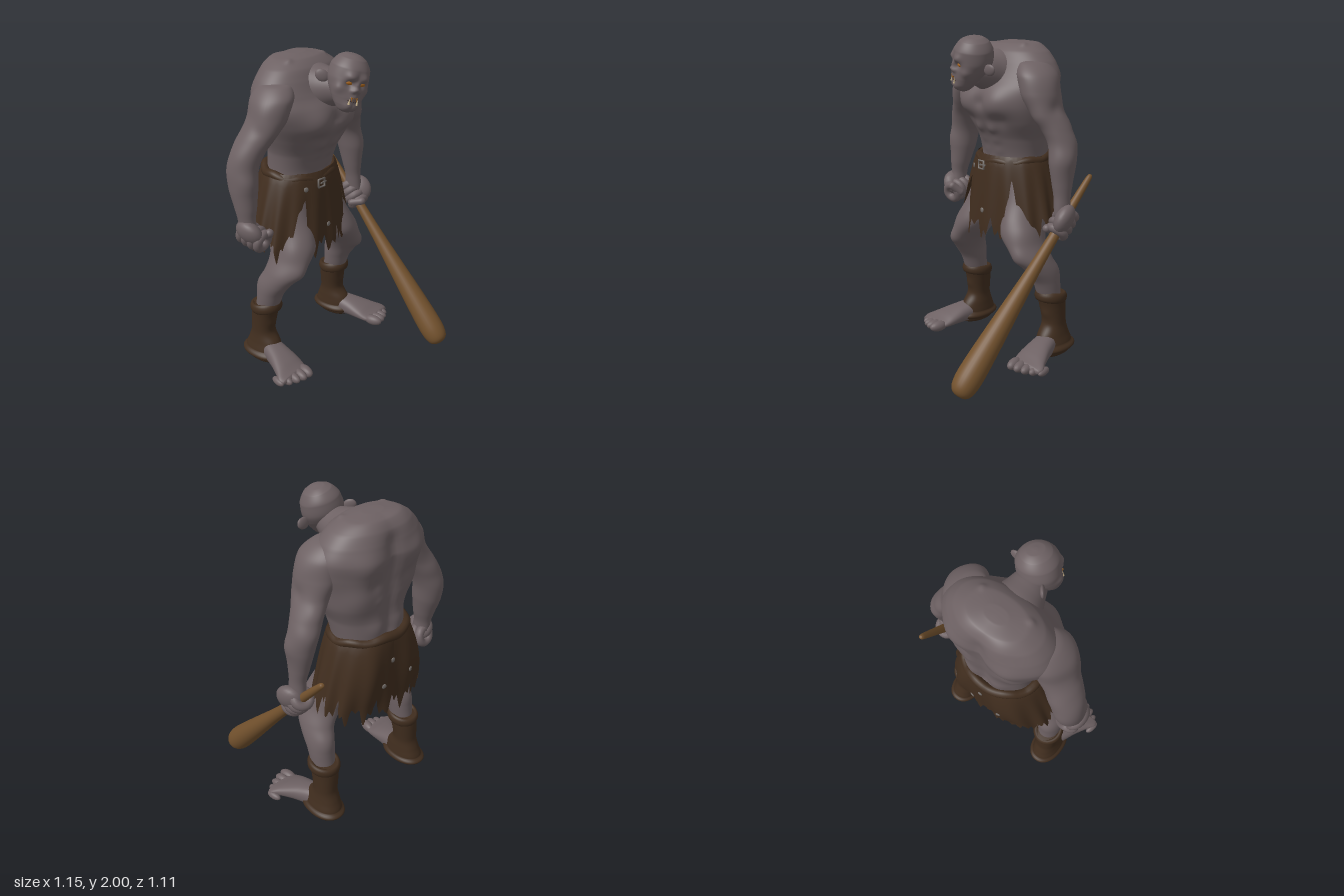
import * as THREE from 'three';

const mat = (name, color, side = THREE.FrontSide) => {
  const m = new THREE.MeshStandardMaterial({ color, side });
  m.name = name;
  return m;
};
const SKIN = mat('greySkin', 0x6d6163);
const LEATHER = mat('brownLeather', 0x402d1e, THREE.DoubleSide);
const WOOD = mat('clubWood', 0x72512d);
const METAL = mat('dullMetal', 0x706a66);
const AMBER = mat('amber', 0xa8661f);
const TOOTH = mat('ivoryTooth', 0xc0ac88);
const MOUTH = mat('darkMouth', 0x3a2420);

function add(parent, name, geo, material, pos = [0, 0, 0], rot = [0, 0, 0], scale = [1, 1, 1]) {
  const m = new THREE.Mesh(geo, material);
  m.name = name;
  m.position.set(...pos);
  m.rotation.set(...rot);
  m.scale.set(...scale);
  parent.add(m);
  return m;
}
const ball = (r) => new THREE.SphereGeometry(r, 20, 14);

// Smooth body from elliptical rings [x, y, z, half width, half depth];
// bumps [|x|, y, z, radius, amount] push the surface along its normal.
function loft(rings, { axis = 'y', power = 2, bumps = [], around = 48, steps = 8 } = {}) {
  const centres = new THREE.CatmullRomCurve3(rings.map((r) => new THREE.Vector3(r[0], r[1], r[2])));
  const sizes = new THREE.CatmullRomCurve3(rings.map((r) => new THREE.Vector3(r[3], r[4], 0)));
  const n = (rings.length - 1) * steps;
  const pos = [], idx = [];
  const round = (v) => Math.sign(v) * Math.abs(v) ** (2 / power);
  for (let i = 0; i <= n; i++) {
    const c = centres.getPoint(i / n), s = sizes.getPoint(i / n);
    for (let j = 0; j < around; j++) {
      const t = (j / around) * Math.PI * 2;
      const u = round(Math.cos(t)) * s.x, v = round(Math.sin(t)) * s.y;
      if (axis === 'y') pos.push(c.x + u, c.y, c.z + v);
      else pos.push(c.x + u, c.y + v, c.z);
    }
  }
  const first = rings[0], last = rings[rings.length - 1];
  const k = axis === 'y' ? 1 : 2;
  const flip = (axis === 'z') !== (last[k] < first[k]);
  const tri = (a, b, c) => (flip ? idx.push(a, c, b) : idx.push(a, b, c));
  const end = (n + 1) * around;
  pos.push(...first.slice(0, 3), ...last.slice(0, 3));
  for (let j = 0; j < around; j++) {
    const j2 = (j + 1) % around;
    for (let i = 0; i < n; i++) {
      const a = i * around + j, b = i * around + j2;
      tri(a, a + around, b);
      tri(b, a + around, b + around);
    }
    tri(end, j, j2);
    tri(end + 1, n * around + j2, n * around + j);
  }
  const g = new THREE.BufferGeometry();
  g.setAttribute('position', new THREE.Float32BufferAttribute(pos, 3));
  g.setIndex(idx);
  g.computeVertexNormals();
  const p = g.attributes.position, nor = g.attributes.normal;
  for (let i = 0; i < p.count; i++) {
    const x = p.getX(i), y = p.getY(i), z = p.getZ(i);
    let d = 0;
    for (const [bx, by, bz, r, amt] of bumps)
      d += amt * Math.exp(-((Math.abs(x) - bx) ** 2 + (y - by) ** 2 + (z - bz) ** 2) / (r * r));
    p.setXYZ(i, x + nor.getX(i) * d, y + nor.getY(i) * d, z + nor.getZ(i) * d);
  }
  g.computeVertexNormals();
  return g;
}

// Torn skirt: outline by angle (0 = front) and height
const saw = (t) => Math.abs((t % 1) - 0.5) * 2;
function skirtPoint(t, y, out = 0) {
  const f = Math.max(0, Math.min(1, (1.27 - y) / 0.45)), e = Math.sqrt(f), c = Math.cos(t);
  const seat = 0.048 * Math.exp(-(((Math.abs(t) - 2.55) / 0.4) ** 2)) * Math.sin(Math.PI * Math.min(1, f * 0.85 + 0.1));
  const r = 1 + 0.03 * f * Math.sin(15 * t);
  return [Math.sin(t) * ((0.243 + 0.14 * f ** 0.75) * r + out + seat * 0.5) - 0.012 * f, y,
    -0.31 + c * ((0.2 + (c > 0 ? 0.055 : 0.015) * e) * r + seat + out)];
}
function skirtGeometry() {
  const cols = 300, rows = 14, pos = [], idx = [];
  for (let j = 0; j <= cols; j++) {
    const u = j / cols, t = (u - 0.5) * Math.PI * 2, a = Math.abs(t);
    const gap = 0.3 * Math.exp(-(((a - 0.66) / 0.16) ** 2)) + 0.07 * Math.exp(-(((a - 1.6) / 0.4) ** 2));
    const hem = 0.705 + gap + 0.11 * saw(u * 17) + 0.08 * saw(u * 41 + 0.3);
    for (let i = 0; i <= rows; i++) pos.push(...skirtPoint(t, 1.27 + (hem - 1.27) * (i / rows)));
    if (j < cols) for (let i = 0; i < rows; i++) {
      const q = j * (rows + 1) + i, w = q + rows + 1;
      idx.push(q, q + 1, w, w, q + 1, w + 1);
    }
  }
  const g = new THREE.BufferGeometry();
  g.setAttribute('position', new THREE.Float32BufferAttribute(pos, 3));
  g.setIndex(idx);
  g.computeVertexNormals();
  return g;
}

// Closed hand: four finger rings around a grip axis, back of hand outside
function addHand(parent, name, pos, dir, side) {
  const hand = new THREE.Group();
  hand.name = name;
  hand.position.set(...pos);
  hand.lookAt(pos[0] + dir[0], pos[1] + dir[1], pos[2] + dir[2]);
  for (let i = 0; i < 4; i++)
    add(hand, 'finger', new THREE.TorusGeometry(0.052 - 0.003 * Math.abs(i - 1.5), 0.028, 12, 24), SKIN, [0, 0, -0.066 + i * 0.044]);
  add(hand, 'backOfHand', ball(1), SKIN, [side * 0.035, 0.035, -0.01], [0, 0, side * -0.5], [0.055, 0.085, 0.095]);
  add(hand, 'thumb', new THREE.CapsuleGeometry(0.026, 0.07, 6, 12), SKIN, [side * -0.045, 0.03, 0.07], [0.5, 0, side * -0.5]);
  parent.add(hand);
}

function addLeg(g, s) {
  const side = s > 0 ? 'left' : 'right';
  const m = (rings) => rings.map(([x, ...rest]) => [s * x, ...rest]);
  add(g, side + 'Leg', loft(m([[0.13, 1.16, -0.31, 0.12, 0.15], [0.155, 1.0, -0.29, 0.135, 0.17], [0.185, 0.88, -0.24, 0.123, 0.17],
    [0.235, 0.76, -0.19, 0.11, 0.145], [0.298, 0.66, -0.197, 0.096, 0.132], [0.328, 0.58, -0.24, 0.086, 0.112],
    [0.338, 0.5, -0.278, 0.08, 0.09], [0.342, 0.42, -0.3, 0.074, 0.08], [0.345, 0.3, -0.33, 0.06, 0.06]]),
  { bumps: [[0.29, 0.67, -0.06, 0.05, 0.014], [0.35, 0.56, -0.36, 0.07, 0.014], [0.15, 0.8, -0.08, 0.06, 0.012], [0.3, 0.82, -0.12, 0.07, 0.012]] }), SKIN);
  add(g, side + 'Boot', loft(m([[0.347, 0.41, -0.318, 0.086, 0.094], [0.35, 0.33, -0.332, 0.078, 0.086], [0.357, 0.22, -0.342, 0.07, 0.079],
    [0.36, 0.14, -0.338, 0.079, 0.108], [0.365, 0.08, -0.338, 0.09, 0.13], [0.368, 0.035, -0.328, 0.09, 0.13],
    [0.368, 0.014, -0.32, 0.078, 0.115], [0.368, 0.008, -0.31, 0.04, 0.06]]),
  { power: 2.2, bumps: [[0.365, 0.12, -0.21, 0.06, 0.016], [0.36, 0.28, -0.26, 0.03, 0.006]] }), LEATHER);
  add(g, side + 'BootCuff', new THREE.TorusGeometry(0.084, 0.019, 12, 40), LEATHER, [s * 0.347, 0.39, -0.318], [Math.PI / 2 - 0.15, 0, 0], [0.96, 1.04, 1.8]);
  add(g, side + 'Foot', loft(m([[0.352, 0.065, -0.4, 0.05, 0.05], [0.368, 0.08, -0.28, 0.07, 0.07], [0.392, 0.072, -0.18, 0.084, 0.062],
    [0.422, 0.054, -0.08, 0.106, 0.045], [0.442, 0.042, -0.03, 0.116, 0.033], [0.445, 0.036, 0.0, 0.105, 0.026], [0.445, 0.034, 0.012, 0.07, 0.015]]),
  { axis: 'z', power: 2.3 }), SKIN);
  for (let i = 0; i < 5; i++) {
    const r = 0.035 - 0.0026 * i;
    add(g, side + 'Toe', ball(1), SKIN, [s * (0.368 + 0.048 * i - 0.001 * i * i), r + 0.002, 0.022 - 0.0045 * i * i], [0, s * 0.18, 0], [r * 0.95, r, 0.064 - 0.003 * i]);
  }
}

function addHead(g) {
  const head = new THREE.Group();
  head.name = 'head';
  head.position.set(0.02, 1.842, 0.05);
  head.rotation.set(0.05, -0.42, -0.24);
  add(head, 'skull', loft([[0, -0.166, 0.055, 0.025, 0.02], [0, -0.152, 0.055, 0.053, 0.043], [0, -0.12, 0.045, 0.076, 0.07],
    [0, -0.08, 0.03, 0.096, 0.088], [0, -0.03, 0.008, 0.113, 0.106], [0, 0.02, -0.002, 0.122, 0.117], [0, 0.08, -0.003, 0.114, 0.115],
    [0, 0.13, -0.005, 0.08, 0.085], [0, 0.15, -0.006, 0.043, 0.05], [0, 0.156, -0.006, 0.01, 0.01]],
  { around: 96, steps: 12, bumps: [[0.042, 0.036, 0.11, 0.03, 0.018], [0.044, 0.004, 0.11, 0.022, -0.02], [0.085, -0.035, 0.07, 0.03, 0.012],
    [0, 0.005, 0.12, 0.014, 0.012], [0, -0.022, 0.12, 0.018, 0.024], [0.018, -0.035, 0.115, 0.014, 0.012],
    [0, -0.066, 0.115, 0.025, 0.01], [0.02, -0.125, 0.1, 0.025, 0.012]] }), SKIN);
  add(head, 'mouth', ball(1), MOUTH, [0, -0.09, 0.098], [0, 0, 0], [0.046, 0.024, 0.024]);
  for (const s of [-1, 1]) {
    add(head, 'eye', ball(1), AMBER, [s * 0.044, 0.006, 0.09], [0, s * 0.3, 0], [0.024, 0.013, 0.014]);
    add(head, 'ear', ball(1), SKIN, [s * 0.138, -0.005, -0.055], [0, s * 0.5, s * 0.35], [0.042, 0.034, 0.014]);
    add(head, 'tusk', new THREE.ConeGeometry(0.008, 0.04, 8), TOOTH, [s * 0.026, -0.09, 0.118]);
    for (const x of [0.006, 0.017])
      add(head, 'stainedTooth', new THREE.ConeGeometry(0.006, 0.024, 8), AMBER, [s * x, -0.08, 0.122], [Math.PI, 0, 0]);
  }
  g.add(head);
}

export function createModel() {
  const g = new THREE.Group();
  g.name = 'clubBrute';

  // Hunched torso with chest, belly, shoulder blades, spine and warts
  const bumps = [[0.13, 1.6, 0, 0.095, 0.032], [0, 1.6, 0, 0.04, -0.022], [0.13, 1.49, -0.05, 0.05, -0.014], [0.17, 1.74, -0.48, 0.09, 0.026],
    [0.2, 1.55, -0.45, 0.09, 0.02], [0.12, 1.62, -0.5, 0.04, -0.012], [0.1, 1.88, -0.42, 0.08, 0.014], [0.09, 1.34, -0.47, 0.06, 0.012],
    [0.12, 1.79, -0.53, 0.02, 0.014], [0.09, 1.52, -0.5, 0.02, 0.012], [0.23, 1.84, -0.36, 0.02, 0.014], [0.15, 1.93, -0.24, 0.02, 0.012]];
  for (let i = 0; i < 3; i++) bumps.push([0.055, 1.29 + i * 0.075, -0.11 + i * 0.02, 0.036, 0.016]);
  for (let y = 1.3; y < 1.9; y += 0.06) bumps.push([0, y, -0.49, 0.045, -0.017]);
  add(g, 'torso', loft([[0, 1.12, -0.32, 0.22, 0.17], [0.013, 1.27, -0.315, 0.225, 0.172], [0.02, 1.38, -0.295, 0.24, 0.185],
    [0.022, 1.48, -0.27, 0.282, 0.215], [0.01, 1.58, -0.25, 0.318, 0.235], [0, 1.68, -0.26, 0.35, 0.23], [0, 1.76, -0.285, 0.35, 0.21],
    [0, 1.84, -0.295, 0.31, 0.182], [0, 1.9, -0.3, 0.255, 0.155], [0, 1.945, -0.31, 0.175, 0.11], [0, 1.962, -0.315, 0.06, 0.04]],
  { power: 2.2, bumps, around: 96 }), SKIN);
  add(g, 'neck', loft([[0, 1.72, -0.36, 0.1, 0.1], [0, 1.745, -0.25, 0.19, 0.165], [0, 1.755, -0.17, 0.165, 0.16], [0.008, 1.77, -0.09, 0.125, 0.13],
    [0.015, 1.785, -0.02, 0.098, 0.1], [0.015, 1.79, 0.05, 0.07, 0.075]], { axis: 'z' }), SKIN);
  addHead(g);

  // Arms and hands
  const muscles = [[0.42, 1.69, -0.2, 0.08, 0.014], [0.38, 1.54, -0.13, 0.06, 0.014], [0.42, 1.5, -0.36, 0.06, 0.012], [0.52, 1.3, -0.24, 0.06, 0.012],
    [0.42, 1.58, -0.22, 0.04, -0.012]];
  add(g, 'leftArm', loft([[0.17, 1.87, -0.26, 0.03, 0.04], [0.23, 1.835, -0.245, 0.085, 0.1], [0.28, 1.76, -0.23, 0.106, 0.14],
    [0.31, 1.66, -0.225, 0.102, 0.138], [0.352, 1.56, -0.235, 0.092, 0.11], [0.408, 1.46, -0.258, 0.085, 0.097], [0.443, 1.38, -0.275, 0.08, 0.095],
    [0.46, 1.27, -0.262, 0.074, 0.09], [0.468, 1.15, -0.255, 0.058, 0.069], [0.476, 1.05, -0.25, 0.046, 0.055], [0.483, 0.95, -0.25, 0.045, 0.058]],
  { bumps: muscles }), SKIN);
  add(g, 'rightArm', loft([[-0.18, 1.86, -0.27, 0.03, 0.04], [-0.24, 1.825, -0.255, 0.09, 0.1], [-0.29, 1.75, -0.25, 0.108, 0.14],
    [-0.325, 1.65, -0.255, 0.106, 0.132], [-0.395, 1.54, -0.285, 0.1, 0.11], [-0.447, 1.45, -0.312, 0.094, 0.104], [-0.475, 1.36, -0.328, 0.086, 0.1],
    [-0.487, 1.25, -0.318, 0.079, 0.093], [-0.495, 1.14, -0.3, 0.063, 0.072], [-0.5, 1.05, -0.29, 0.048, 0.057], [-0.495, 0.96, -0.28, 0.048, 0.06]],
  { bumps: muscles }), SKIN);
  addHand(g, 'leftHand', [0.482, 0.91, -0.25], [-0.04, -0.74, 0.67], 1);
  addHand(g, 'rightHand', [-0.475, 0.95, -0.265], [0.1, -0.25, 1], -1);

  // Legs, boots and bare toes
  for (const s of [-1, 1]) addLeg(g, s);

  // Skirt, rolled waistband, buckle and studs
  add(g, 'tornSkirt', skirtGeometry(), LEATHER);
  const band = [];
  for (let i = 0; i < 32; i++) {
    const t = (i / 32) * Math.PI * 2;
    band.push(new THREE.Vector3(Math.sin(t) * 0.235, 1.248 - 0.02 * Math.cos(t) + 0.007 * Math.sin(t * 7), -0.312 + Math.cos(t) * 0.192));
  }
  add(g, 'waistband', new THREE.TubeGeometry(new THREE.CatmullRomCurve3(band, true), 120, 0.028, 12, true), LEATHER);
  add(g, 'buckle', new THREE.TorusGeometry(0.036, 0.007, 8, 4).rotateZ(Math.PI / 4), METAL, [-0.055, 1.203, -0.086], [0, -0.1, 0]);
  add(g, 'bucklePin', new THREE.BoxGeometry(0.05, 0.008, 0.008), METAL, [-0.04, 1.203, -0.084]);
  for (const [t, y] of [[-0.58, 1.18], [-0.03, 0.92], [3.1, 1.12], [2.9, 0.97], [-2.8, 1.0]])
    add(g, 'stud', ball(1), METAL, skirtPoint(t, y, 0.002), [0, t, 0], [0.015, 0.016, 0.006]);

  // Long tapered club
  const top = new THREE.Vector3(0.495, 1.17, -0.485), low = new THREE.Vector3(0.432, 0.035, 0.535);
  const len = top.distanceTo(low);
  const profile = [[0, 0], [0.035, 0.006], [0.062, 0.03], [0.076, 0.08], [0.079, 0.16], [0.072, 0.32], [0.056, 0.58], [0.041, 0.82],
    [0.032, 1.05], [0.027, 1.25], [0.02, len - 0.06], [0.014, len - 0.008], [0, len]].map((p) => new THREE.Vector2(...p));
  const club = add(g, 'club', new THREE.LatheGeometry(new THREE.SplineCurve(profile).getPoints(60).map((p) => p.setX(Math.max(0, p.x))), 28), WOOD);
  club.position.copy(low);
  club.quaternion.setFromUnitVectors(new THREE.Vector3(0, 1, 0), top.clone().sub(low).normalize());
  return g;
}
